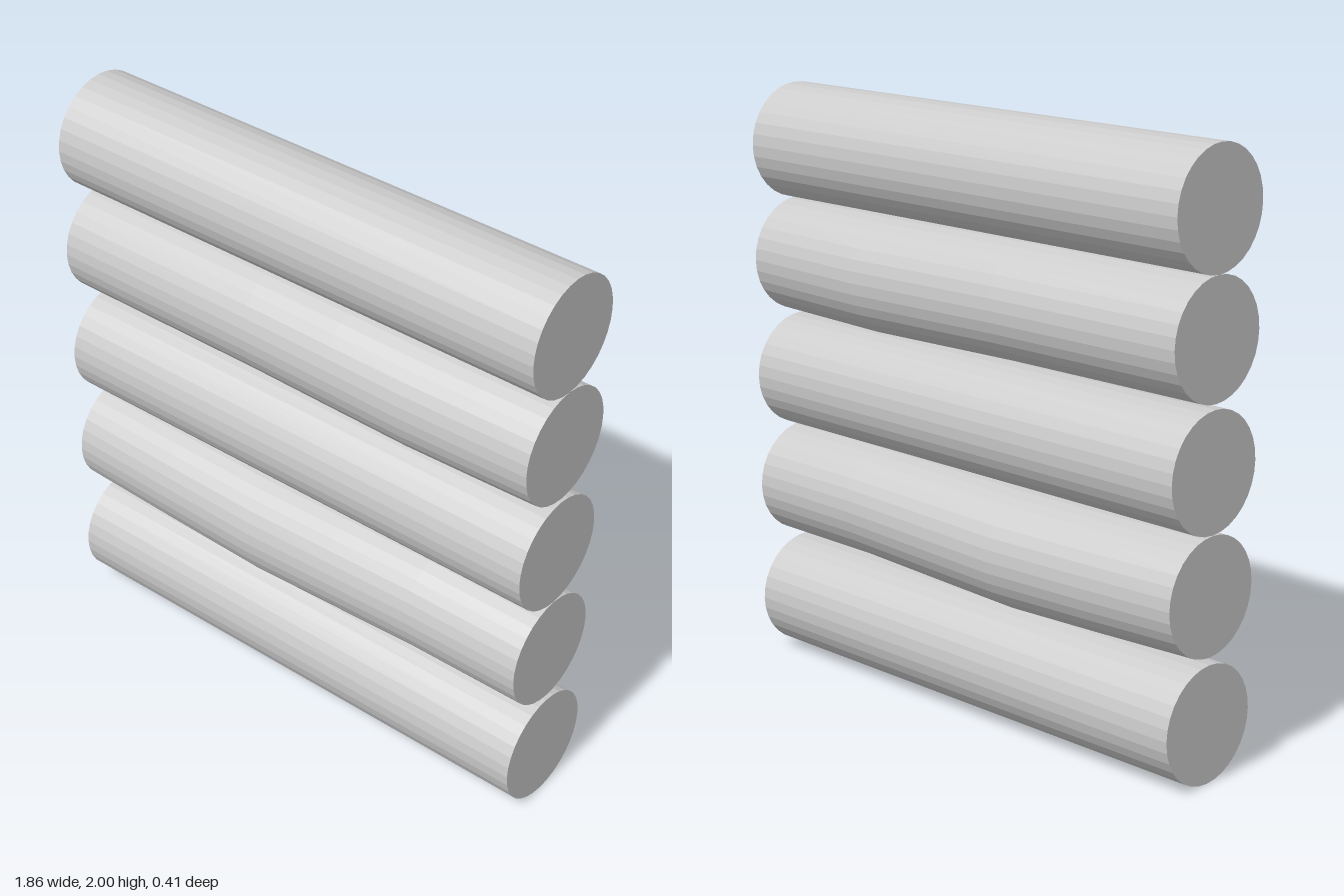
import * as THREE from 'three';

const SIDES = 32;
const HALF = 0.93;

// A log along x, shaped by stations of [x, centre height, radius].
function makeLog(name, stations, material) {
  const last = stations.length - 1;
  const geometry = new THREE.CylinderGeometry(1, 1, last, SIDES, last);
  geometry.rotateZ(-Math.PI / 2);
  const pos = geometry.attributes.position;
  for (let i = 0; i < pos.count; i++) {
    const [x, y, r] = stations[Math.round(pos.getX(i) + last / 2)];
    pos.setXYZ(i, x, y + pos.getY(i) * r, pos.getZ(i) * r);
  }
  geometry.computeVertexNormals();
  const mesh = new THREE.Mesh(geometry, material);
  mesh.name = name;
  return mesh;
}

export function createModel() {
  const group = new THREE.Group();
  group.name = 'logStack';
  const material = new THREE.MeshStandardMaterial({ color: 0xcccccc, flatShading: true });
  const straight = (y) => [[-HALF, y, 0.196], [HALF, y, 0.196]];

  // Straight logs: bottom, middle and top
  group.add(makeLog('bottomLog', straight(0.196), material));
  group.add(makeLog('middleLog', straight(1.004), material));
  group.add(makeLog('topLog', straight(1.804), material));

  // Lower sagging log, deepest left of the middle
  group.add(makeLog('lowerSaggingLog', [
    [-HALF, 0.612, 0.195], [-0.55, 0.601, 0.199], [-0.17, 0.593, 0.203],
    [0.16, 0.602, 0.2], [0.5, 0.611, 0.196], [HALF, 0.611, 0.195],
  ], material));

  // Upper sagging log, with a shallow dip near the right end
  group.add(makeLog('upperSaggingLog', [
    [-HALF, 1.413, 0.196], [-0.17, 1.412, 0.197], [0.16, 1.408, 0.199],
    [0.45, 1.404, 0.2], [0.7, 1.408, 0.198], [HALF, 1.412, 0.196],
  ], material));

  return group;
}
